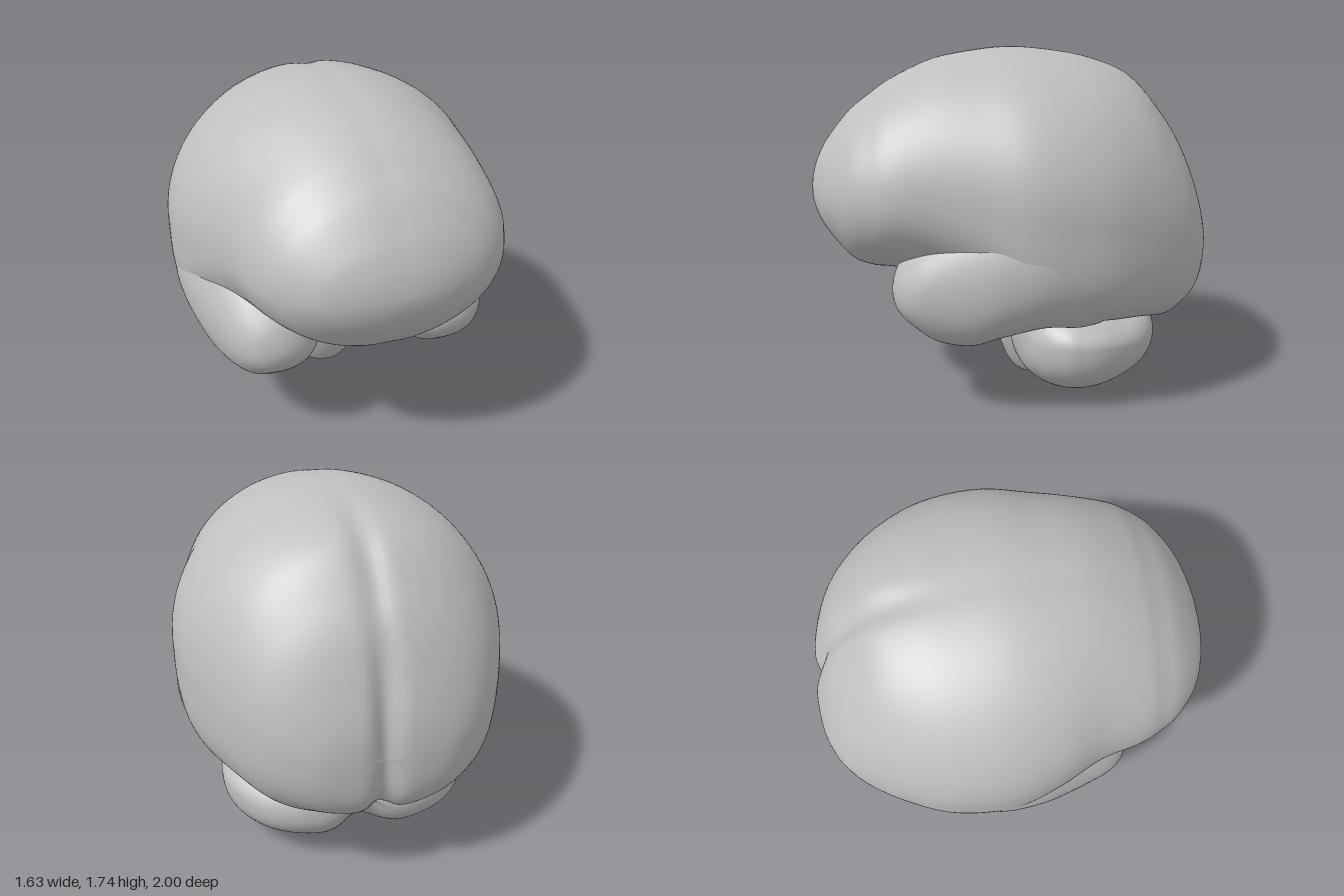
import * as THREE from 'three';
import { mergeVertices } from 'three/addons/utils/BufferGeometryUtils.js';

// Rounded body lofted along +z through rows [z, centreX, halfWidth, top, mid, bottom, lowerPower].
// Rows ascend in z; the first and last close to a point. A higher lowerPower squares the underside.
function loft(rows, sculpt = null, sides = 112, steps = 6) {
  const r = rows.map(([z, cx, hw, top, mid, bot, power = 2]) => [z, cx, hw, mid, top - mid, mid - bot, power]);
  const mirrorEnd = ([z, cx, hw, mid, up, dn, power]) => [z, cx, -hw, mid, -up, -dn, power]; // keeps the ends round
  const p = [mirrorEnd(r[1]), ...r, mirrorEnd(r[r.length - 2])];
  const spline = (a, b, c, d, t) =>
    b + 0.5 * t * (c - a + t * (2 * a - 5 * b + 4 * c - d + t * (3 * (b - c) + d - a)));
  const pos = [], index = [];
  const rings = (r.length - 1) * steps + 1;
  for (let i = 0; i < rings; i++) {
    const s = Math.min(Math.floor(i / steps), r.length - 2);
    const t = i / steps - s;
    const [z, cx, hw, mid, up, dn, power] =
      p[s].map((_, k) => spline(p[s][k], p[s + 1][k], p[s + 2][k], p[s + 3][k], t));
    for (let j = 0; j < sides; j++) {
      const a = (j / sides) * Math.PI * 2;
      const c = Math.cos(a), sn = Math.sin(a);
      const e = sn < 0 ? 2 / power : 1;
      const v = new THREE.Vector3(
        cx + hw * Math.sign(c) * Math.abs(c) ** e,
        mid + (sn < 0 ? -dn * Math.abs(sn) ** e : up * sn), z);
      if (sculpt) sculpt(v, mid);
      pos.push(v.x, v.y, v.z);
    }
  }
  for (let i = 0; i < rings - 1; i++) {
    for (let j = 0; j < sides; j++) {
      const k = (j + 1) % sides;
      const a = i * sides + j, b = i * sides + k, c = b + sides, d = a + sides;
      index.push(a, b, c, a, c, d);
    }
  }
  let g = new THREE.BufferGeometry();
  g.setAttribute('position', new THREE.Float32BufferAttribute(pos, 3));
  g.setIndex(index);
  g = mergeVertices(g, 1e-5);
  g.computeVertexNormals();
  return g;
}

// 1 at or behind z = a, fading to 0 at z = b
const fadeForward = (a, b, z) => 1 - THREE.MathUtils.smoothstep(z, a, b);

export function createModel() {
  const group = new THREE.Group();
  const tissue = new THREE.MeshStandardMaterial({ color: 0xbfbfbf });
  tissue.name = 'grey tissue';
  const add = (name, geometry) => {
    const m = new THREE.Mesh(geometry, tissue);
    m.name = name;
    group.add(m);
  };

  // Both hemispheres, with the fissure deepening toward the back
  add('cerebrum', loft([
    [-1.0, 0, 0, 0.74, 0.74, 0.74, 2.2],
    [-0.985, 0, 0.26, 0.93, 0.75, 0.55, 2.3],
    [-0.93, 0, 0.41, 1.12, 0.78, 0.45, 2.5],
    [-0.85, 0, 0.52, 1.31, 0.81, 0.40, 2.6],
    [-0.75, 0, 0.605, 1.46, 0.85, 0.36, 2.8],
    [-0.6, 0, 0.695, 1.62, 0.89, 0.38, 3.1],
    [-0.4, 0, 0.78, 1.70, 0.95, 0.40, 3.6],
    [-0.2, 0, 0.813, 1.735, 0.99, 0.43, 4],
    [0, 0, 0.81, 1.75, 1.0, 0.52, 3.8],
    [0.2, 0, 0.755, 1.73, 1.03, 0.60, 2.8],
    [0.4, 0.02, 0.685, 1.685, 1.05, 0.62, 2.2],
    [0.6, 0.025, 0.64, 1.59, 1.05, 0.65],
    [0.7, 0.025, 0.595, 1.52, 1.05, 0.66],
    [0.8, 0.02, 0.53, 1.44, 1.05, 0.70],
    [0.9, 0.01, 0.41, 1.32, 1.05, 0.81],
    [0.95, 0, 0.30, 1.24, 1.05, 0.88],
    [0.985, 0, 0.17, 1.15, 1.05, 0.96],
    [1.0, 0, 0, 1.05, 1.05, 1.05],
  ], (v, mid) => {
    const groove = Math.exp(-((v.x / 0.06) ** 2));
    const depth = 0.04 * fadeForward(-0.75, -0.2, v.z) + 0.005;
    v.y -= Math.sign(v.y - mid) * Math.min(depth, Math.abs(v.y - mid)) * groove;
    v.z += 0.04 * groove * fadeForward(-1, -0.8, v.z);
  }, 144));

  // Temporal lobes, sinking into the side walls toward the back
  for (const [side, name] of [[1, 'leftTemporalLobe'], [-1, 'rightTemporalLobe']]) {
    add(name, loft([
      [-0.55, 0.40, 0, 0.7, 0.7, 0.7],
      [-0.45, 0.43, 0.20, 0.95, 0.74, 0.46],
      [-0.3, 0.47, 0.30, 1.08, 0.78, 0.415],
      [-0.1, 0.50, 0.312, 1.14, 0.78, 0.43],
      [0.1, 0.50, 0.29, 1.10, 0.73, 0.39],
      [0.25, 0.475, 0.27, 1.02, 0.68, 0.345],
      [0.4, 0.45, 0.24, 0.92, 0.65, 0.365],
      [0.5, 0.44, 0.205, 0.83, 0.63, 0.43],
      [0.58, 0.44, 0.125, 0.73, 0.61, 0.51],
      [0.61, 0.44, 0, 0.61, 0.61, 0.61],
    ].map(([z, cx, ...rest]) => [z, cx * side, ...rest, 2.2]), null, 72));
  }

  // Cerebellum, notched along the middle of its back and base
  add('cerebellum', loft([
    [-0.75, 0, 0, 0.31, 0.31, 0.31],
    [-0.73, 0, 0.27, 0.42, 0.31, 0.22],
    [-0.68, 0, 0.41, 0.48, 0.31, 0.15],
    [-0.6, 0, 0.51, 0.50, 0.31, 0.09],
    [-0.5, 0, 0.58, 0.50, 0.32, 0.04],
    [-0.4, 0, 0.625, 0.52, 0.33, 0.01],
    [-0.3, 0, 0.64, 0.54, 0.33, 0],
    [-0.2, 0, 0.625, 0.55, 0.33, 0.015],
    [-0.1, 0, 0.55, 0.54, 0.32, 0.06],
    [-0.03, 0, 0.40, 0.48, 0.31, 0.14],
    [0.01, 0, 0, 0.31, 0.31, 0.31],
  ].map((row) => [...row, 2.5]), (v, mid) => {
    const groove = Math.exp(-((v.x / 0.11) ** 2));
    const depth = 0.08 * fadeForward(-0.55, -0.25, v.z);
    if (v.y < mid) v.y += Math.min(depth, mid - v.y) * groove;
    v.z += 0.07 * groove * fadeForward(-0.75, -0.5, v.z);
  }));

  // Brainstem: lofted upward, rows read [y, x, halfWidth, -back, -mid, -front]
  const stem = loft([
    [0.01, 0, 0, 0.15, 0.13, 0.11],
    [0.02, 0, 0.10, 0.28, 0.14, 0.05],
    [0.08, 0, 0.14, 0.3, 0.12, 0.0],
    [0.18, 0, 0.17, 0.3, 0.09, -0.04],
    [0.28, 0, 0.195, 0.3, 0.06, -0.065],
    [0.38, 0, 0.21, 0.3, 0.02, -0.14],
    [0.48, 0, 0.19, 0.3, -0.03, -0.21],
    [0.58, 0, 0.14, 0.2, -0.10, -0.26],
    [0.66, 0, 0.09, 0.05, -0.15, -0.28],
    [0.7, 0, 0, -0.15, -0.15, -0.15],
  ], null, 56);
  stem.rotateX(-Math.PI / 2);
  add('brainstem', stem);

  return group;
}
